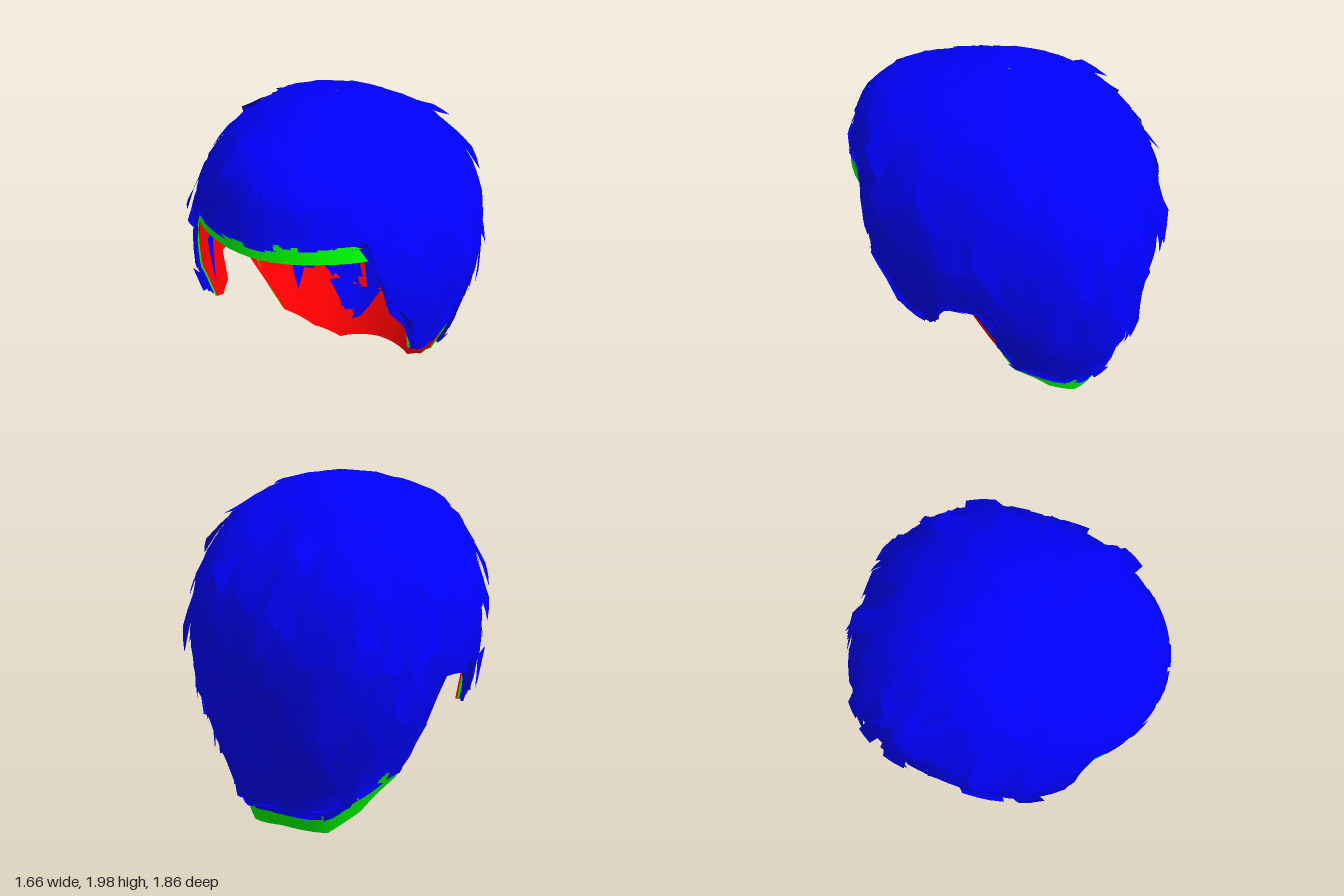
import * as THREE from 'three';

// Head profile from crown to nape: height, half width, front depth, back depth
const PROFILE = [
  [1.965, 0, 0, 0], [1.945, 0.18, 0.24, 0.17], [1.89, 0.34, 0.5, 0.32], [1.81, 0.49, 0.73, 0.46],
  [1.7, 0.6, 0.84, 0.59], [1.55, 0.69, 0.885, 0.71], [1.38, 0.75, 0.915, 0.8], [1.2, 0.77, 0.91, 0.835],
  [1.0, 0.765, 0.89, 0.85], [0.8, 0.73, 0.85, 0.83], [0.6, 0.665, 0.8, 0.8], [0.4, 0.58, 0.75, 0.75],
  [0.2, 0.48, 0.7, 0.67], [0, 0.43, 0.6, 0.6],
];

// Hairline: degrees from the front, height (fringe, temple, sideburn, ear notch, nape)
const HEM = [
  [0, 1.38], [25, 1.385], [45.5, 1.375], [47, 1.2], [49, 1.06], [58, 0.9], [62, 0.71], [70, 0.66], [79, 0.69],
  [82, 0.86], [92, 0.88], [97.5, 0.65], [106, 0.3], [126, 0.12], [149, 0.005], [180, 0.03],
];

const DEG = Math.PI / 180;
const lerp = THREE.MathUtils.lerp;
const clamp = THREE.MathUtils.clamp;

let seed = 7;
function rand(lo = 0, hi = 1) {
  seed = (seed * 16807) % 2147483647;
  return lo + (hi - lo) * (seed / 2147483647);
}

// Angle away from the front, 0 to 180
function fromFront(deg) {
  const d = Math.abs(deg) % 360;
  return d > 180 ? 360 - d : d;
}

// Profile parameter at which the hairline lies for an angle in degrees
function hemAt(deg) {
  const d = fromFront(deg);
  let i = 1;
  while (i < HEM.length - 1 && HEM[i][0] < d) i++;
  const y = lerp(HEM[i - 1][1], HEM[i][1], (d - HEM[i - 1][0]) / (HEM[i][0] - HEM[i - 1][0]));
  let k = 1;
  while (k < PROFILE.length - 1 && PROFILE[k][0] > y) k++;
  return k - 1 + (PROFILE[k - 1][0] - y) / (PROFILE[k - 1][0] - PROFILE[k][0]);
}

// Hairline of the outside, which leaves the lining bare behind the ear
function outerHemAt(deg) {
  const d = fromFront(deg);
  return hemAt(d > 91 && d < 100 ? 91 : d);
}

function section(s) {
  const i = clamp(Math.floor(s), 0, PROFILE.length - 2);
  return PROFILE[i].map((v, k) => lerp(v, PROFILE[i + 1][k], s - i));
}

// Point on the scalp, moved outwards by an offset; the back is squarer than the front
function scalp(deg, s, offset) {
  const [y, w, front, back] = section(s);
  const c = Math.cos(deg * DEG);
  const n = Math.sin(deg * DEG);
  const power = c > 0 ? 1 : 0.833;
  const p = new THREE.Vector3(
    w * Math.sign(n) * Math.abs(n) ** power,
    y,
    Math.sign(c) * Math.abs(c) ** power * (c > 0 ? front : back),
  );
  const out = new THREE.Vector3(p.x, Math.max(p.y - 1.2, 0), p.z).normalize();
  p.addScaledVector(out, offset);
  p.y = Math.max(p.y, 0);
  return p;
}

// Appends a grid of points as triangles facing outwards
function addGrid(data, columns, rows, point) {
  const base = data.positions.length / 3;
  for (let c = 0; c <= columns; c++) {
    for (let r = 0; r <= rows; r++) data.positions.push(...point(c, r).toArray());
  }
  for (let c = 0; c < columns; c++) {
    for (let r = 0; r < rows; r++) {
      const a = base + c * (rows + 1) + r;
      const b = a + rows + 1;
      data.indices.push(a, a + 1, b, b, a + 1, b + 1);
    }
  }
}

function toMesh(data, name, color) {
  const geometry = new THREE.BufferGeometry();
  geometry.setAttribute('position', new THREE.Float32BufferAttribute(data.positions, 3));
  geometry.setIndex(data.indices);
  geometry.computeVertexNormals();
  const mesh = new THREE.Mesh(geometry, new THREE.MeshStandardMaterial({ color, side: THREE.DoubleSide }));
  mesh.name = name;
  return mesh;
}

// Cap reaching down to the given hairline
function capShell(name, color, offset, hem) {
  const half = [];
  for (let i = 0; i < HEM.length - 1; i++) {
    const steps = Math.ceil((HEM[i + 1][0] - HEM[i][0]) / 6);
    for (let k = 0; k < steps; k++) half.push(lerp(HEM[i][0], HEM[i + 1][0], k / steps));
  }
  half.push(180);
  const angles = [...half.slice(1).reverse().map((d) => -d), ...half];
  const data = { positions: [], indices: [] };
  const rows = 28;
  addGrid(data, angles.length - 1, rows, (c, r) => scalp(angles[c], (hem(angles[c]) * r) / rows, offset));
  return toMesh(data, name, color);
}

// Room left between the lock tips and the hairline
function margin(deg) {
  const d = fromFront(deg);
  if (d < 45) return 0.5;
  if (d < 100) return 0.12;
  return d < 110 ? 0.4 : 0.6;
}

// One flat lock of hair lying on the scalp, ending in a slanted tip
function addLock(data, deg, s0, length, width, lift, flare, lean) {
  const slant = rand(-0.45, 0.45);
  const jitter = rand(-0.25, 0.2);
  addGrid(data, 2, 4, (c, r) => {
    const t = r / 4;
    const side = c - 1;
    const s = s0 + length * t + slant * side * t;
    const radius = Math.max(section(clamp(s, 0, 13))[1], 0.12);
    const angle = deg + lean * t + (side * width * (1 - 0.3 * t)) / (2 * radius) / DEG;
    const end = outerHemAt(angle) - margin(angle) + jitter;
    return scalp(angle, clamp(s, 0, Math.min(end, 13)), lift + flare * t * t);
  });
}

export function createModel() {
  const model = new THREE.Group();
  model.name = 'hair';

  // Base cap and its lining
  model.add(capShell('outerCap', 0x00ff00, 0, outerHemAt));
  model.add(capShell('innerLining', 0xff0000, -0.01, hemAt));

  // Overlapping rows of locks from crown to hairline
  const locks = { positions: [], indices: [] };
  for (let row = 0; row < 30; row++) {
    const s0 = row * 0.43;
    const count = Math.round(16 + 38 * section(s0)[1]);
    for (let i = 0; i < count; i++) {
      const deg = -180 + ((i + rand()) * 360) / count;
      if (s0 > outerHemAt(deg) - margin(deg) - 0.25) continue;
      const top = Math.max(0, s0 + rand(-0.25, 0.25));
      // Away from the fringe a few tips stand off the head
      const spike = s0 > 2 && fromFront(deg) > 50 && rand() > 0.86 ? rand(0.02, 0.05) : 0;
      const flare = rand(0, 0.02) + spike;
      addLock(locks, deg, top, rand(1.6, 2.7), rand(0.12, 0.2), rand(0.006, 0.018), flare, rand(-11, 11));
    }
  }
  model.add(toMesh(locks, 'hairLocks', 0x0000ff));

  // Patches of hair showing through the lining, most of them at the back
  const patches = { positions: [], indices: [] };
  for (let i = 0; i < 90; i++) {
    const s0 = i % 3 === 0 ? rand(9, 11.5) : rand(3.5, 8.2);
    const deg = i % 2 ? 180 + rand(-55, 55) : rand(-180, 180);
    if (s0 > outerHemAt(deg) - 1.2) continue;
    addLock(patches, deg, s0, rand(0.5, 1.1), rand(0.08, 0.15), -0.018, 0, rand(-9, 9));
  }
  model.add(toMesh(patches, 'innerLocks', 0x0000ff));

  return model;
}
